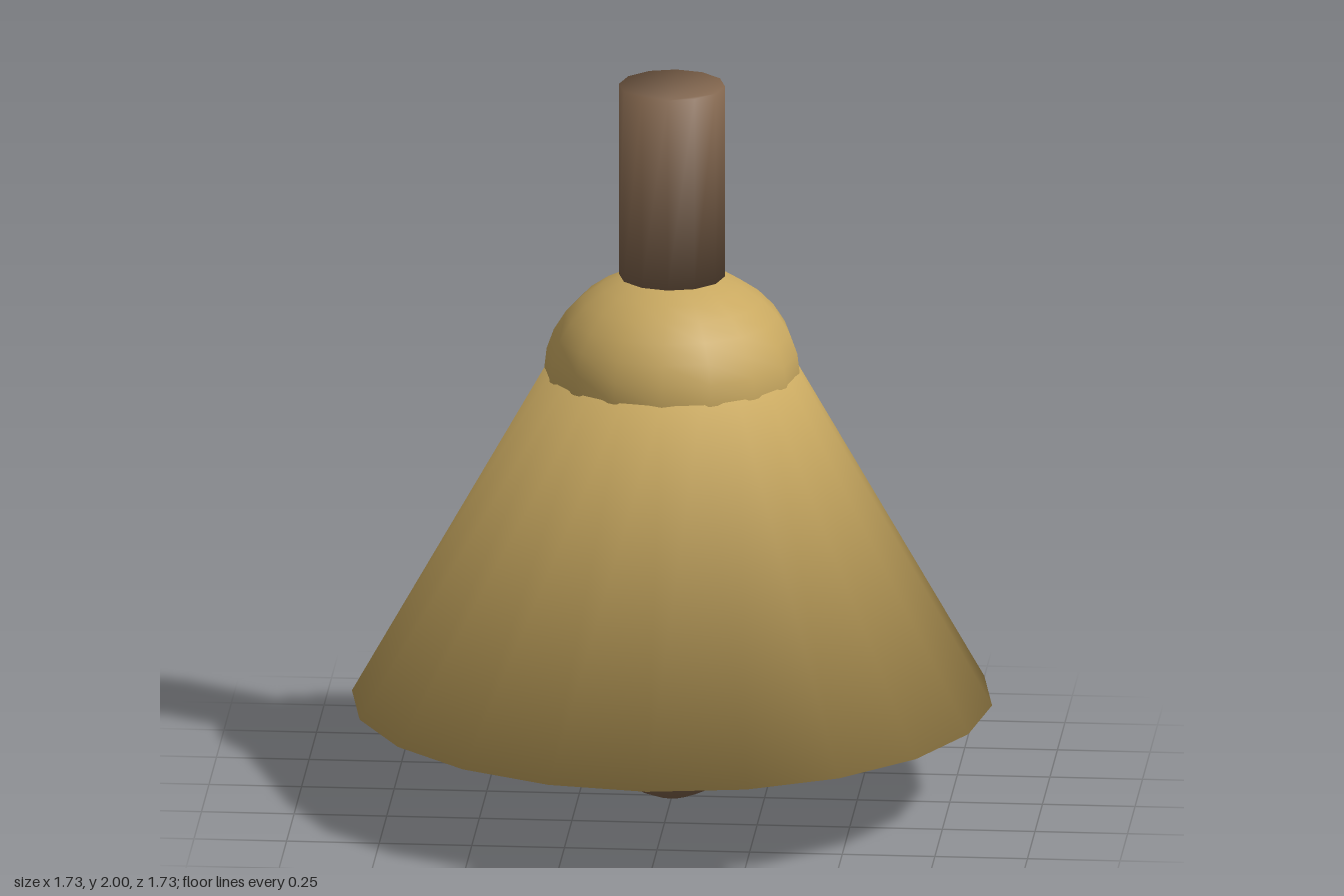
import * as THREE from 'three';

const brass = new THREE.MeshStandardMaterial({ color: 0xc8a860 });
brass.name = 'brass';
const wood = new THREE.MeshStandardMaterial({ color: 0x80644c });
wood.name = 'brown wood';

// Closed frustum whose rim normals blend side and cap, for a soft shaded look
function softFrustum(rBottom, rTop, y0, y1, sides) {
  const pos = [], nor = [], idx = [];
  const side = new THREE.Vector2(y1 - y0, rBottom - rTop).normalize();
  for (const [r, y, cap] of [[rBottom, y0, -1], [rTop, y1, 1]]) {
    const n = new THREE.Vector2(side.x, side.y + cap).normalize();
    for (let i = 0; i < sides; i++) {
      const a = (i / sides) * Math.PI * 2;
      pos.push(Math.sin(a) * r, y, Math.cos(a) * r);
      nor.push(Math.sin(a) * n.x, n.y, Math.cos(a) * n.x);
    }
  }
  // wall
  for (let i = 0; i < sides; i++) {
    const j = (i + 1) % sides;
    idx.push(i, j, sides + j, i, sides + j, sides + i);
  }
  // caps
  for (let i = 1; i < sides - 1; i++) {
    idx.push(0, i + 1, i);
    idx.push(sides, sides + i, sides + i + 1);
  }
  const geo = new THREE.BufferGeometry();
  geo.setAttribute('position', new THREE.Float32BufferAttribute(pos, 3));
  geo.setAttribute('normal', new THREE.Float32BufferAttribute(nor, 3));
  geo.setIndex(idx);
  return geo;
}

export function createModel() {
  const group = new THREE.Group();
  group.name = 'handBell';

  const add = (name, geo, material) => {
    const mesh = new THREE.Mesh(geo, material);
    mesh.name = name;
    group.add(mesh);
    return mesh;
  };

  // Flared body, closed underneath
  add('bellBody', softFrustum(0.864, 0.343, 0.275, 1.2, 20), brass);

  // Rounded shoulder, a slightly flattened half sphere
  const dome = new THREE.SphereGeometry(0.345, 16, 8, 0, Math.PI * 2, 0, Math.PI / 2);
  dome.scale(1, 0.29 / 0.345, 1);
  dome.translate(0, 1.195, 0);
  add('shoulderDome', dome, brass);

  // Straight grip
  add('handle', softFrustum(0.143, 0.143, 1.465, 2, 12), wood);

  // Clapper ball, half sunk into the underside
  const ball = new THREE.SphereGeometry(0.192, 16, 12);
  ball.translate(0, 0.192, 0);
  add('clapper', ball, wood);

  return group;
}
